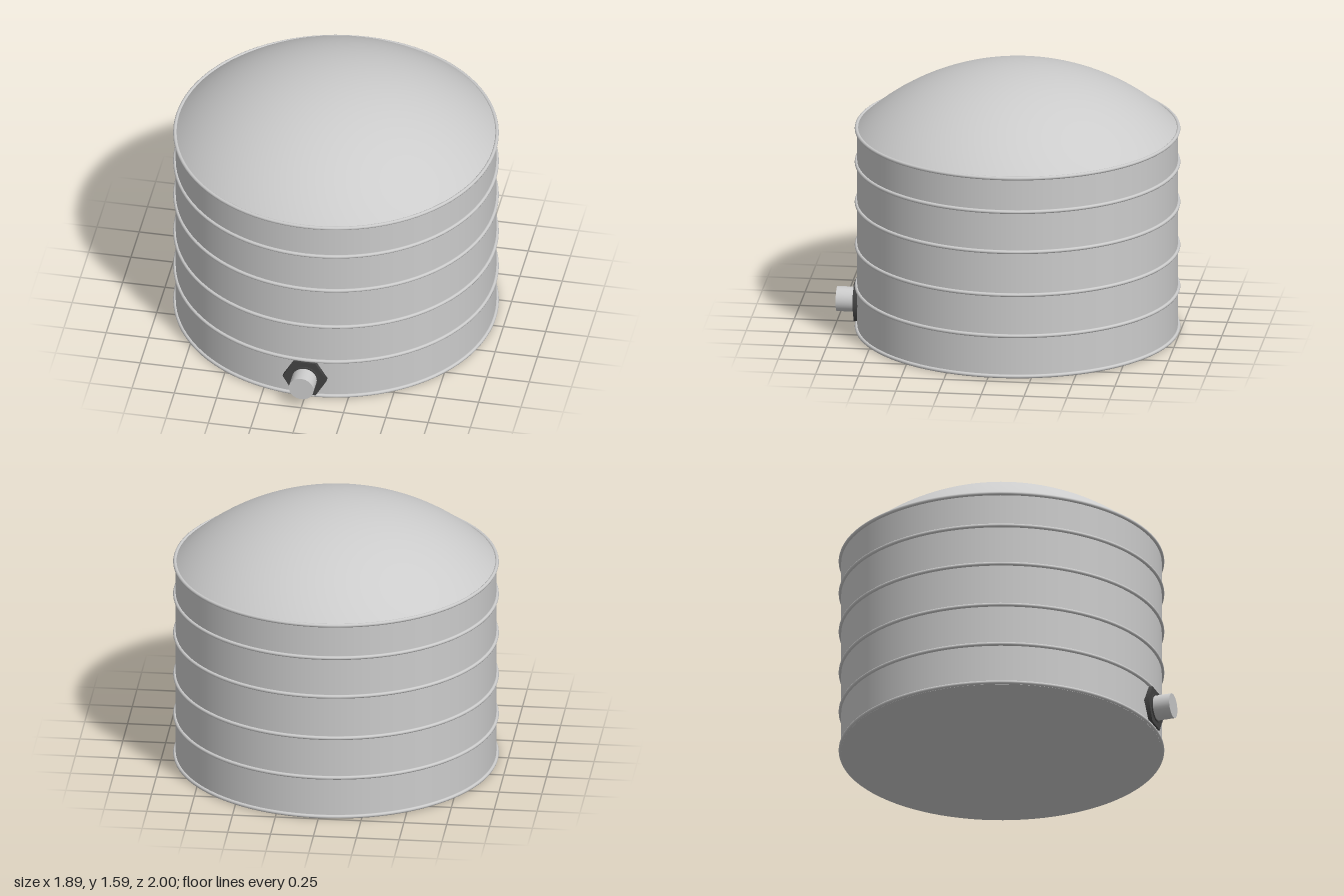
import * as THREE from 'three';

export function createModel() {
  const model = new THREE.Group();
  const grey = new THREE.MeshStandardMaterial({ color: 0xcccccc });
  const dark = new THREE.MeshStandardMaterial({ color: 0x444444 });
  const R = 0.93, wallTop = 1.22, domeTop = 1.59, segments = 96;

  const add = (parent, name, geometry, material = grey) => {
    const mesh = new THREE.Mesh(geometry, material);
    mesh.name = name;
    parent.add(mesh);
    return mesh;
  };

  // Tank sits slightly back so the outlet reaches the front limit
  const tank = new THREE.Group();
  tank.name = 'tank';
  tank.position.z = -0.055;
  model.add(tank);

  // Straight wall with a closed base
  add(tank, 'wall', new THREE.CylinderGeometry(R, R, wallTop, segments)).position.y = wallTop / 2;

  // Domed roof: a shallow spherical cap
  const rise = domeTop - wallTop;
  const capR = (R * R + rise * rise) / (2 * rise);
  const roof = add(tank, 'domedRoof',
    new THREE.SphereGeometry(capR, segments, 24, 0, Math.PI * 2, 0, Math.asin(R / capR)));
  roof.position.y = domeTop - capR;

  // Hoops around the wall
  const hoop = new THREE.TorusGeometry(R + 0.004, 0.011, 10, segments).rotateX(Math.PI / 2);
  [0.011, 0.257, 0.508, 0.77, 1.015, 1.22].forEach((y, i) => {
    add(tank, `hoop${i + 1}`, hoop).position.y = y;
  });

  // Outlet at the front: hexagonal nut, collar and pipe
  const outlet = new THREE.Group();
  outlet.name = 'outlet';
  outlet.position.y = 0.135;
  model.add(outlet);

  const along = (name, radius, back, front, sides, material) => {
    const geometry = new THREE.CylinderGeometry(radius, radius, front - back, sides)
      .rotateX(Math.PI / 2);
    const mesh = add(outlet, name, geometry, material);
    mesh.position.z = (back + front) / 2;
    return mesh;
  };
  along('hexNut', 0.13, 0.85, 0.895, 6, dark).rotation.z = Math.PI / 2;
  along('collar', 0.083, 0.86, 0.9, 32, dark);
  along('outletPipe', 0.073, 0.8, 1, 32, grey);

  return model;
}
